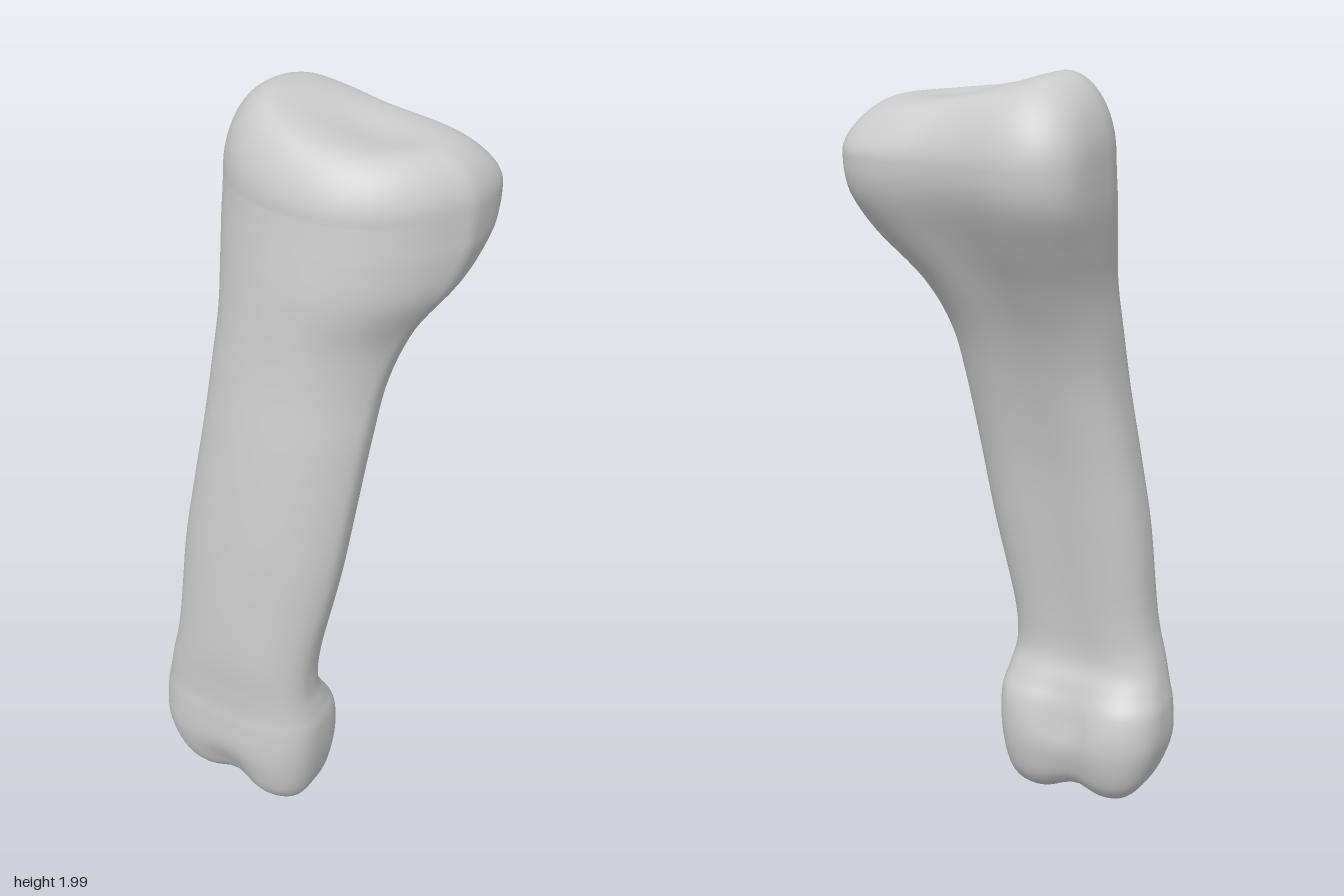
import * as THREE from 'three';

// Cross-sections from the lower to the upper end:
// y, xMin, xMax, zBack, zFront, squareness of the back, hollow in the back
const ROWS = [
  [0.0, -0.22, 0.0, 0.11, 0.195, 3.2, 0],
  [0.012, -0.26, 0.04, 0.08, 0.222, 3.4, 0],
  [0.045, -0.3, 0.068, 0.042, 0.258, 3.4, 0],
  [0.1, -0.335, 0.088, 0.012, 0.287, 3.2, 0],
  [0.2, -0.365, 0.105, -0.006, 0.305, 3, 0],
  [0.3, -0.365, 0.11, 0.004, 0.303, 2.8, 0.02],
  [0.36, -0.352, 0.1, 0.036, 0.298, 2.6, 0.02],
  [0.43, -0.335, 0.09, 0.068, 0.298, 2.5, 0.015],
  [0.55, -0.31, 0.098, 0.066, 0.30, 2.5, 0.012],
  [0.8, -0.295, 0.145, 0.035, 0.285, 2.5, 0.012],
  [1.0, -0.27, 0.17, 0.005, 0.265, 2.5, 0.012],
  [1.2, -0.247, 0.19, -0.043, 0.24, 2.4, 0.012],
  [1.35, -0.241, 0.205, -0.097, 0.218, 2.4, 0.015],
  [1.48, -0.243, 0.245, -0.17, 0.203, 2.5, 0.025],
  [1.6, -0.26, 0.325, -0.247, 0.193, 2.8, 0.035],
  [1.69, -0.273, 0.357, -0.297, 0.181, 3.2, 0.035],
  [1.75, -0.276, 0.364, -0.316, 0.172, 3.3, 0.032],
  [1.8, -0.276, 0.365, -0.32, 0.165, 3.3, 0.03],
];
const SIDES = 96, STEPS = 5, CAP = 24;
const { lerp, clamp, smoothstep } = THREE.MathUtils;

// Smooth blend of the rows at position t
function rowAt(t) {
  const i = Math.min(Math.floor(t), ROWS.length - 2), f = t - i;
  const row = (k) => ROWS[clamp(k, 0, ROWS.length - 1)];
  const [a, b, c, d] = [row(i - 1), row(i), row(i + 1), row(i + 2)];
  return b.map((v, k) => v + 0.5 * f * (c[k] - a[k]
    + f * (2 * a[k] - 5 * v + 4 * c[k] - d[k] + f * (3 * (v - c[k]) + d[k] - a[k]))));
}

// Rounded outline, flatter behind with a hollow, and leaner at the front left corner of the upper half
function section([y, x0, x1, z0, z1, backSquare, hollow]) {
  const ring = [], pow = (v, n) => Math.sign(v) * Math.abs(v) ** (2 / n);
  const frontSquare = lerp(3.2, 2.1, smoothstep(y, 0, 0.8));
  const lean = 0.35 * smoothstep(y, 0.4, 1.3);
  const zc = lerp(z0, z1, 0.5 - 0.1 * smoothstep(y, 1.2, 1.75));
  for (let j = 0; j < SIDES; j++) {
    const a = (j / SIDES) * Math.PI * 2, c = Math.cos(a), s = Math.sin(a);
    const n = lerp(backSquare, frontSquare - lean * c, smoothstep(s, -0.4, 0.4));
    const u = pow(c, n), w = pow(s, n);
    const dent = s < 0 ? hollow * Math.exp(-((u / 0.45) ** 2)) * -w : 0;
    ring.push(new THREE.Vector3((x0 + x1) / 2 + u * (x1 - x0) / 2, y,
      zc + w * (s < 0 ? zc - z0 : z1 - zc) + dent));
  }
  return ring;
}

// Groove between the two knuckles of the lower end
function carveGroove(p) {
  const top = lerp(0.25, 0.4, smoothstep(0.15 - p.z, -0.05, 0.1));
  const fade = 1 - smoothstep(p.y, top - 0.17, top);
  const k = 1 - 0.21 * fade * Math.exp(-(((p.x + 0.125) / 0.07) ** 2));
  p.y = 0.18 + (p.y - 0.18) * k;
  p.z = 0.15 + (p.z - 0.15) * k;
  p.y += 0.014 * fade * smoothstep(-p.x, 0.1, 0.25);
}

// Sloping, dished joint surface of the upper end
function topHeight(x, z) {
  const dish = Math.exp(-(((x - 0.09) / 0.16) ** 2) - ((z + 0.07) / 0.11) ** 2);
  return 2.0 - 0.15 * Math.max(0, x + 0.14) - 1.2 * (z + 0.06) ** 2 - 0.035 * dish;
}

function boneGeometry() {
  const rings = [];
  const first = section(ROWS[0]);
  // Closed lower end
  for (const s of [0, 0.25, 0.5, 0.75]) {
    rings.push(first.map((p) => new THREE.Vector3(-0.11 + (p.x + 0.11) * s, 0, 0.15 + (p.z - 0.15) * s)));
  }
  // Shaft and flared ends
  const count = (ROWS.length - 1) * STEPS;
  for (let i = 0; i <= count; i++) rings.push(section(rowAt(i / STEPS)));
  rings.forEach((r) => r.forEach(carveGroove));
  // Rounded rim and joint surface
  const rim = rings[rings.length - 1];
  for (let i = 1; i <= CAP; i++) {
    const s = Math.cos((i / CAP) * Math.PI / 2);
    const q = Math.max(0, (s - 0.6) / 0.4), ramp = Math.sqrt(1 - q * q);
    rings.push(rim.map((p) => {
      const x = 0.05 + (p.x - 0.05) * s, z = -0.08 + (p.z + 0.08) * s;
      return new THREE.Vector3(x, lerp(p.y, topHeight(x, z), ramp), z);
    }));
  }
  const index = [];
  for (let i = 0; i < rings.length - 1; i++) {
    for (let j = 0; j < SIDES; j++) {
      const k = (j + 1) % SIDES, a = i * SIDES, b = a + SIDES;
      index.push(a + j, b + j, a + k, a + k, b + j, b + k);
    }
  }
  const geometry = new THREE.BufferGeometry().setFromPoints(rings.flat());
  geometry.setIndex(index);
  geometry.computeVertexNormals();
  return geometry;
}

export function createModel() {
  const group = new THREE.Group();
  group.name = 'fingerBone';
  const bone = new THREE.Mesh(boneGeometry(), new THREE.MeshStandardMaterial({ color: 0xcccccc }));
  bone.name = 'bone';
  group.add(bone);
  return group;
}
